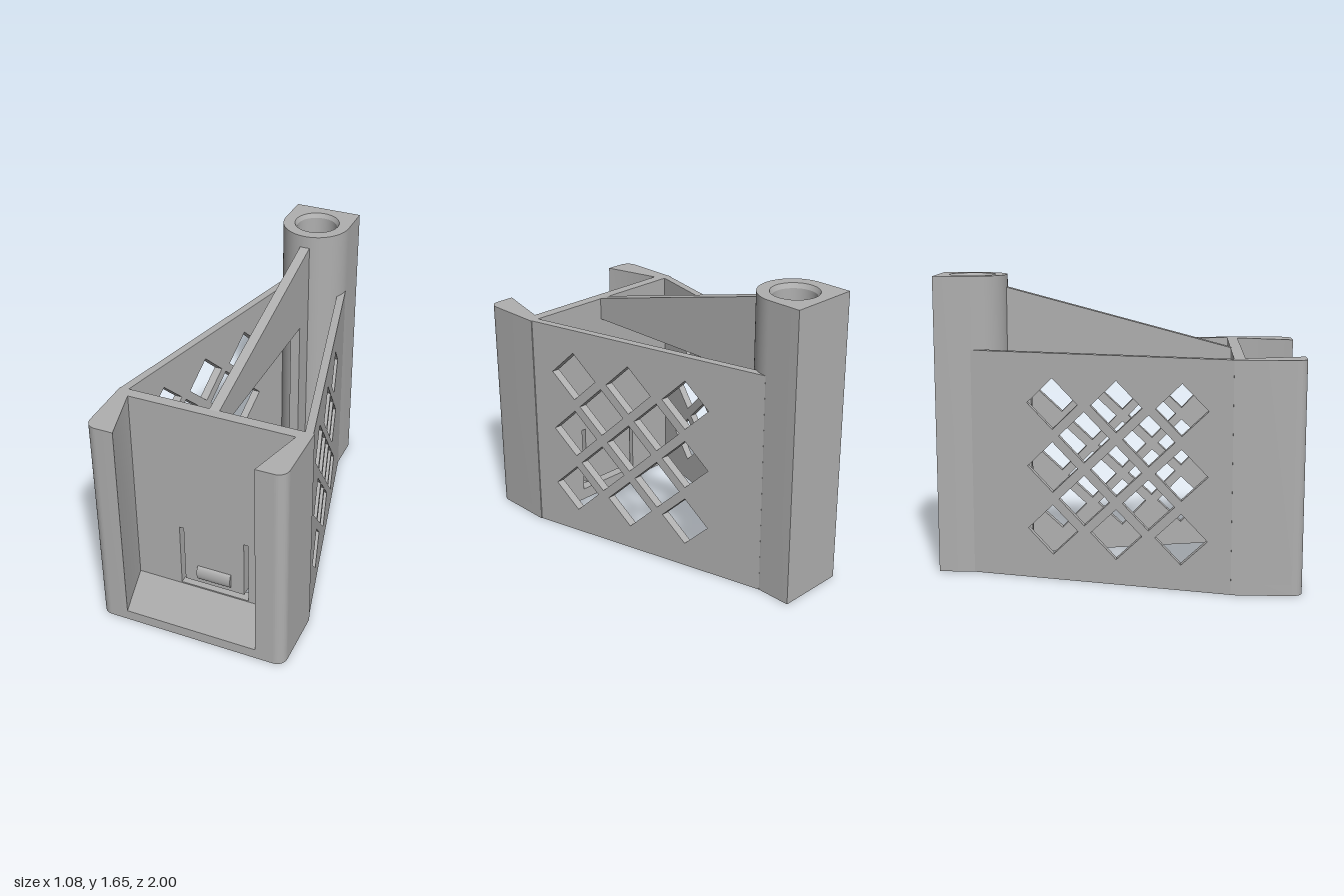
import * as THREE from 'three';
import { toCreasedNormals } from 'three/addons/utils/BufferGeometryUtils.js';

const H = 1.255;        // height of holder and side walls
const TOWER_H = 1.655;  // height of rear post

const polygon = (pts) => new THREE.Shape(pts.map(([x, y]) => new THREE.Vector2(x, y)));

function extrude(shape, depth) {
  return new THREE.ExtrudeGeometry(shape, { depth, bevelEnabled: false, curveSegments: 24 });
}

// Plan shape (x, -z) raised from y0 to y1
function plan(shape, y0, y1) {
  const g = extrude(shape, y1 - y0).rotateX(-Math.PI / 2).translate(0, y0, 0);
  return toCreasedNormals(g, 0.5);
}

// Side profile (z, y) spanning x from -thickness to 0
function profile(shape, thickness) {
  return extrude(shape, thickness).rotateY(-Math.PI / 2);
}

export function createModel() {
  const root = new THREE.Group();
  root.name = 'holderBracket';
  const grey = new THREE.MeshStandardMaterial({ color: 0xb0b0b0 });
  grey.name = 'grey plastic';
  const add = (name, geometry) => {
    const m = new THREE.Mesh(geometry, grey);
    m.name = name;
    root.add(m);
    return m;
  };

  // Floor of the front holder, rounded at the front corners
  const W = 0.54, R = 0.06;
  const floor = new THREE.Shape();
  floor.moveTo(-W, -0.62);
  floor.lineTo(-W, -1 + R);
  floor.absarc(-W + R, -1 + R, R, Math.PI, Math.PI * 1.5, false);
  floor.lineTo(W - R, -1);
  floor.absarc(W - R, -1 + R, R, Math.PI * 1.5, Math.PI * 2, false);
  floor.lineTo(W, -0.62);
  floor.closePath();
  add('holderFloor', plan(floor, 0, 0.06));

  // Cheeks with the dovetail flare on the inside
  for (const s of [1, -1]) {
    const cheek = new THREE.Shape();
    cheek.moveTo(s * 0.465, -0.62);
    cheek.lineTo(s * 0.465, -0.68);
    cheek.lineTo(s * 0.38, -1);
    cheek.lineTo(s * (W - R), -1);
    const a = s > 0 ? -Math.PI / 2 : Math.PI * 1.5;
    cheek.absarc(s * (W - R), -1 + R, R, a, s > 0 ? 0 : Math.PI, s < 0);
    cheek.lineTo(s * W, -0.62);
    cheek.closePath();
    add(s > 0 ? 'leftCheek' : 'rightCheek', plan(cheek, 0.06, H));
  }

  // Back plate with a U-shaped slit that frees the latch tab
  const plate = polygon([[-0.465, 0.06], [0.465, 0.06], [0.465, H], [-0.465, H]]);
  const o = 0.203, i = 0.178;
  plate.holes.push(polygon([
    [-o, 0.068], [-o, 0.465], [-i, 0.465], [-i, 0.105],
    [i, 0.105], [i, 0.465], [o, 0.465], [o, 0.068],
  ]));
  add('backPlate', extrude(plate, 0.06).translate(0, 0, 0.62));

  // Rounded catch on the tab
  const catchBump = add('latchCatch', new THREE.CylinderGeometry(0.045, 0.045, 0.2, 32).rotateZ(Math.PI / 2));
  catchBump.scale.z = 0.45;
  catchBump.position.set(0, 0.177, 0.68);

  // Tapering side walls, pierced straight across by a diamond lattice
  const wall = polygon([[-0.8, 0], [0.63, 0], [0.63, H], [-0.8, H]]);
  const diamond = (z, y, r = 0.14) =>
    wall.holes.push(polygon([[z - r, y], [z, y + r], [z + r, y], [z, y - r]]));
  for (let row = 0; row < 5; row++) {
    const count = row % 2 ? 2 : 3;
    for (let c = 0; c < count; c++) {
      diamond(0.005 + (c - (count - 1) / 2) * 0.35, 0.28 + row * 0.175);
    }
  }
  const T = 0.045;
  const outer = (z) => 0.193 + (z + 0.8) * 0.241;
  for (const s of [1, -1]) {
    const g = profile(wall, T);
    const p = g.attributes.position;
    for (let k = 0; k < p.count; k++) {
      const x = p.getX(k), z = p.getZ(k);
      p.setX(k, s > 0 ? outer(z) + x : x + T - outer(z));
    }
    g.computeVertexNormals();
    add(s > 0 ? 'leftWall' : 'rightWall', g);
  }

  // Central web: sloping top, open below, with a leg along the post
  const web = polygon([
    [-0.64, 0], [-0.49, 0], [-0.49, 1.13], [0.63, 1.13],
    [0.63, H], [-0.617, 1.585], [-0.64, 1.585],
  ]);
  add('centreWeb', profile(web, 0.056).translate(0.028, 0, 0));

  // Rear post: flat back, half-round front
  const r = 0.193, cz = -0.81;
  const post = new THREE.Shape();
  post.moveTo(r, 1);
  post.lineTo(-r, 1);
  post.lineTo(-r, -cz);
  post.absarc(0, -cz, r, Math.PI, Math.PI * 2, false);
  post.closePath();
  const hole = new THREE.Path();
  hole.absarc(0, -cz, 0.128, 0, Math.PI * 2, true);
  post.holes.push(hole);
  add('rearPost', plan(post, 0, TOWER_H));

  // Bore lining with a chamfer at each end
  const bore = [[0.128, TOWER_H], [0.115, TOWER_H - 0.025], [0.115, 0.025], [0.128, 0]]
    .map(([x, y]) => new THREE.Vector2(x, y));
  add('postBore', toCreasedNormals(new THREE.LatheGeometry(bore, 48), 0.4)).position.z = cz;

  return root;
}
